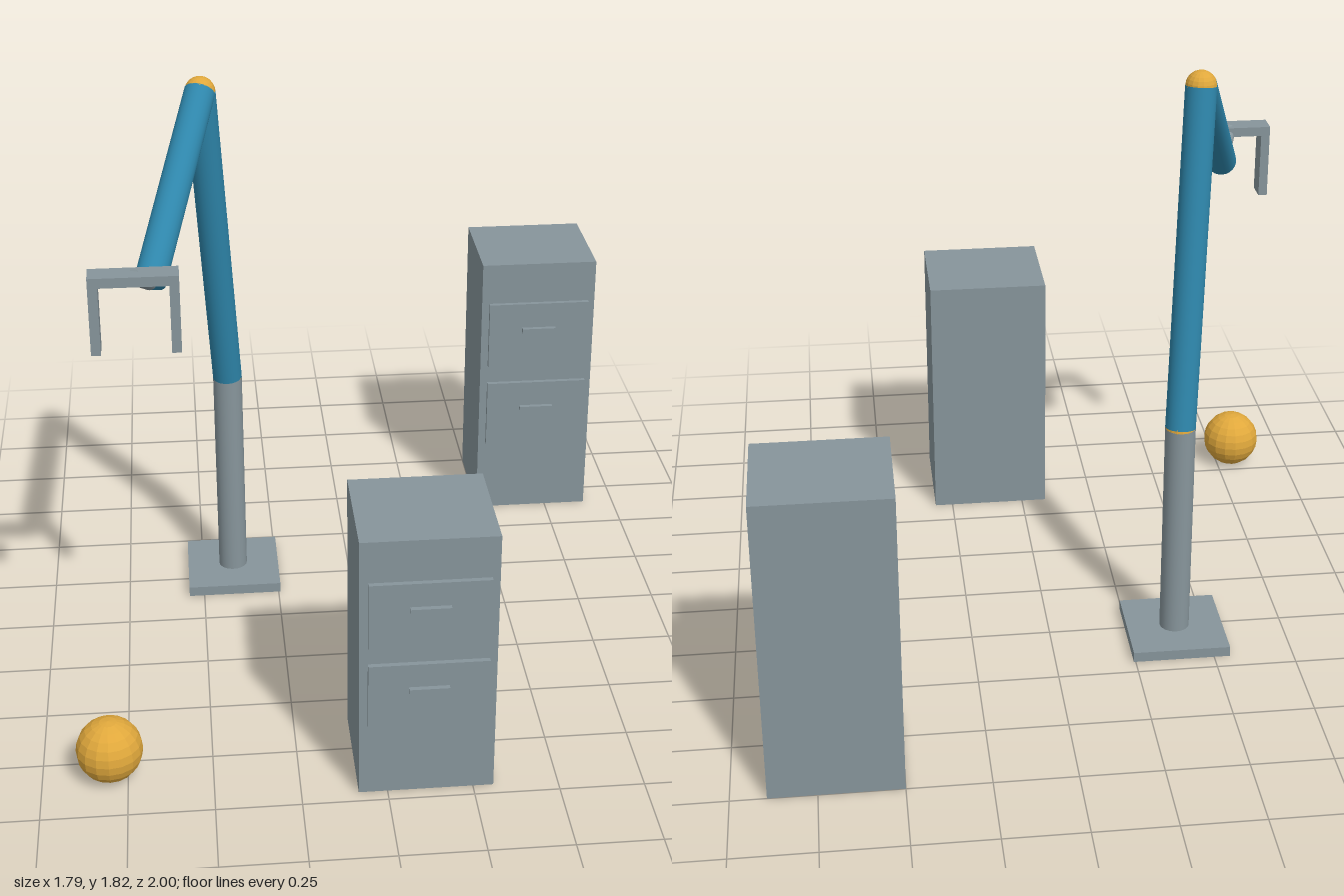
import * as THREE from 'three';

const mat = (name, color, flatShading = false) => {
  const m = new THREE.MeshStandardMaterial({ color, flatShading });
  m.name = name;
  return m;
};

export function createModel() {
  const grey = mat('steel grey', 0x87959b);
  const blue = mat('arm blue', 0x2e86ab);
  const amber = mat('amber', 0xe0a83c, true);

  const root = new THREE.Group();
  root.name = 'robotArmWorkcell';

  const add = (parent, name, geometry, material, x, y, z) => {
    const mesh = new THREE.Mesh(geometry, material);
    mesh.name = name;
    mesh.position.set(x, y, z);
    parent.add(mesh);
    return mesh;
  };
  const box = (parent, name, w, h, d, x, y, z) =>
    add(parent, name, new THREE.BoxGeometry(w, h, d), grey, x, y, z);
  const ball = (parent, name, r, p) =>
    add(parent, name, new THREE.SphereGeometry(r, 16, 12), amber, p.x, p.y, p.z);

  // cylinder spanning two points
  const rod = (parent, name, a, b, r, material) => {
    const dir = b.clone().sub(a);
    const mid = a.clone().add(b).multiplyScalar(0.5);
    const mesh = add(parent, name, new THREE.CylinderGeometry(r, r, dir.length(), 24), material, mid.x, mid.y, mid.z);
    mesh.quaternion.setFromUnitVectors(new THREE.Vector3(0, 1, 0), dir.normalize());
  };

  // robot arm: joint positions from floor to gripper
  const arm = new THREE.Group();
  arm.name = 'robotArm';
  root.add(arm);
  const foot = new THREE.Vector3(-0.397, 0.03, -0.293);
  const shoulder = new THREE.Vector3(-0.397, 0.743, -0.293);
  const elbow = new THREE.Vector3(-0.457, 1.776, -0.125);
  const wrist = new THREE.Vector3(-0.625, 1.366, 0.343);
  const hand = new THREE.Vector3(-0.669, 1.433, 0.456);

  box(arm, 'basePlate', 0.306, 0.033, 0.306, foot.x, 0.0165, foot.z);
  rod(arm, 'post', foot, shoulder, 0.047, grey);
  ball(arm, 'shoulderJoint', 0.047, shoulder);
  rod(arm, 'upperArm', shoulder, elbow, 0.047, blue);
  ball(arm, 'elbowJoint', 0.047, elbow);
  rod(arm, 'forearm', elbow, wrist, 0.047, blue);
  rod(arm, 'wristRod', wrist, hand, 0.022, grey);

  // gripper: crossbar with two hanging fingers
  const gripper = new THREE.Group();
  gripper.name = 'gripper';
  gripper.position.copy(hand);
  arm.add(gripper);
  box(gripper, 'crossbar', 0.256, 0.03, 0.072, 0, 0, 0);
  for (const s of [-1, 1]) box(gripper, 'finger', 0.028, 0.206, 0.072, s * 0.114, -0.118, 0);

  // cabinets: drawers stand slightly proud of the front face
  const cabinet = (name, x, front, h, drawerH, drawerYs) => {
    const g = new THREE.Group();
    g.name = name;
    g.position.set(x, 0, front);
    root.add(g);
    box(g, 'cabinetBody', 0.394, h, 0.354, 0, h / 2, -0.177);
    for (const y of drawerYs) {
      box(g, 'drawerFront', 0.346, drawerH, 0.015, 0, y, 0.0175);
      box(g, 'drawerHandle', 0.116, 0.015, 0.015, 0, y + 0.022, 0.0325);
    }
  };
  cabinet('frontCabinet', 0.113, 0.96, 0.84, 0.208, [0.612, 0.346]);
  cabinet('backCabinet', 0.697, -0.646, 0.951, 0.237, [0.693, 0.39]);

  // loose ball on the floor
  ball(root, 'floorBall', 0.098, new THREE.Vector3(-0.8, 0.098, 0.816));

  return root;
}
